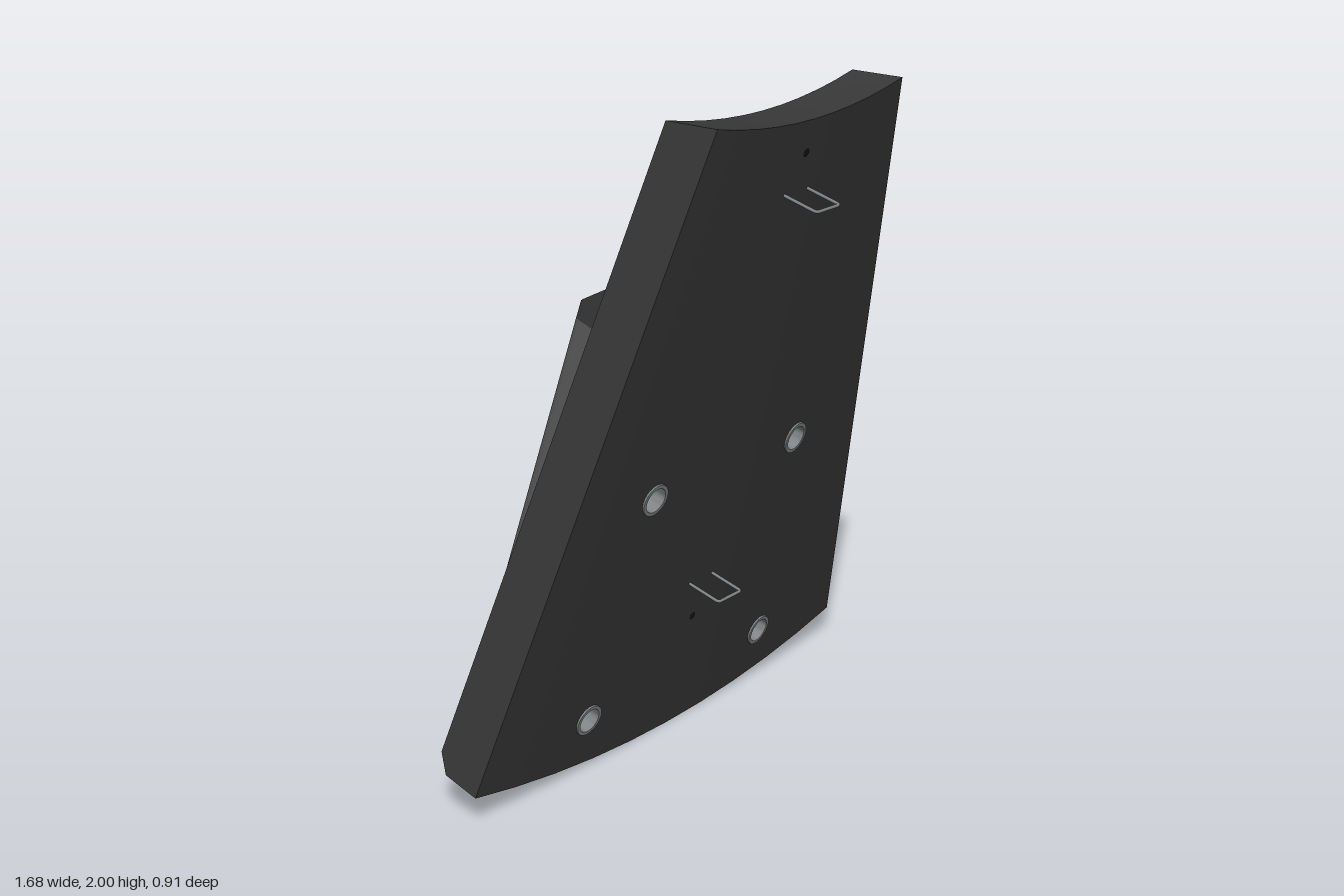
import * as THREE from 'three';
import { toCreasedNormals } from 'three/addons/utils/BufferGeometryUtils.js';

const mat = (name, color, side = THREE.FrontSide) =>
  Object.assign(new THREE.MeshStandardMaterial({ color, side }), { name });

const R = 3.885;                     // outer radius of the conical sector
const TILT = THREE.MathUtils.degToRad(15);
const COS = Math.cos(TILT), TAN = Math.tan(TILT);
const STEP = THREE.MathUtils.degToRad(2.5);
const T = 0.165;                     // plate thickness
const LEN = 2.024;                   // plate length along the slope
const RIB = 0.18;                    // rib height
const RIB_SLOT = 2.5;                // wedge index on which ribs and bolts lie
const BOLTS = [0.163, 0.903];

export function createModel() {
  const model = new THREE.Group();
  model.name = 'panel';
  const dark = mat('darkPanel', 0x383838);
  const grey = mat('greyCover', 0x585858);
  const metal = mat('metal', 0x808486, THREE.DoubleSide);
  const black = mat('blackHole', 0x151515);

  // Frame lying on the cone at an angle: y runs up the slope, z out of the front
  function frame(name, angle) {
    const pivot = new THREE.Group();
    pivot.name = name;
    pivot.position.y = R;
    pivot.rotation.z = angle;
    const tilted = new THREE.Group();
    tilted.name = name + 'Slope';
    tilted.position.set(0, -R, -0.12);
    tilted.rotation.x = TILT;
    pivot.add(tilted);
    model.add(pivot);
    return tilted;
  }
  function add(parent, name, geometry, material, x = 0, y = 0, z = 0) {
    const mesh = new THREE.Mesh(geometry, material);
    mesh.name = name;
    mesh.position.set(x, y, z);
    parent.add(mesh);
    return mesh;
  }
  const polygon = (pts, Kind = THREE.Shape) => new Kind(pts.map(([x, y]) => new THREE.Vector2(x, y)));

  // Extrude backwards from z0 to z1, then move each vertex by a rule
  function block(shape, z0, z1, steps, rule) {
    const geo = new THREE.ExtrudeGeometry(shape, { depth: z0 - z1, steps, bevelEnabled: false, curveSegments: 16 });
    geo.translate(0, 0, z1);
    const p = geo.attributes.position;
    const v = new THREE.Vector3();
    for (let i = 0; i < p.count; i++) {
      rule(v.fromBufferAttribute(p, i));
      p.setXYZ(i, v.x, v.y, v.z);
    }
    geo.computeVertexNormals();
    return geo;
  }

  // Plate: ten flat wedges around the cone, drilled where the bolts pass
  for (let i = -4.5; i <= 4.5; i++) {
    const half = y => (R - COS * y) * Math.tan(STEP / 2);
    const shape = polygon([[-half(0), 0], [half(0), 0], [half(LEN), LEN], [-half(LEN), LEN]]);
    if (Math.abs(i) === RIB_SLOT) {
      for (const y of BOLTS) shape.holes.push(new THREE.Path().absarc(0, y, 0.04, 0, Math.PI * 2, true));
    }
    const geo = block(shape, 0, -T, 4, v => {
      if (v.y > LEN - 0.01) v.y += v.z * TAN;               // level top edge
      else if (v.y < 0.01 && v.z < -T + 0.01) v.y = 0.054;  // rear bottom chamfer
    });
    add(frame('plateWedge', i * STEP), 'plate', geo, dark);
  }

  // Tapered rib section between heights d0 and d1 above the plate's back
  function ribPart(y0, y1, d0, d1, slope, slotted) {
    const w = 0.155, r = 0.03;
    const shape = polygon([[-w, y0], [w, y0], [w, y1], [-w, y1]]);
    if (slotted) {
      for (const y of BOLTS) {
        shape.holes.push(polygon([[-0.04, y - 0.045], [-0.025, y - 0.06], [0.025, y - 0.06], [0.04, y - 0.045],
          [0.04, y + 0.045], [0.025, y + 0.06], [-0.025, y + 0.06], [-0.04, y + 0.045]], THREE.Path));
      }
    }
    return block(shape, -T - d0, -T - d1, 18, v => {
      const d = -v.z - T;
      if (Math.abs(v.x) > 0.1) {
        const over = Math.max(0, d - (RIB - r));
        const round = r - Math.sqrt(Math.max(0, r * r - over * over));
        v.x = Math.sign(v.x) * (w - 0.1 * d - round);
      }
      if (v.y > y1 - 0.001) v.y -= slope * d;
    });
  }

  // Two ribs: the left one runs to the top edge, the right one stops short
  const ribs = [
    { name: 'leftRib', side: 1, top: 1.98, slope: 1.76, cap: 0.092 },
    { name: 'rightRib', side: -1, top: 1.535, slope: 0.9, cap: 0.035 },
  ];
  const coverTop = 1.331;
  for (const { name, side, top, slope, cap } of ribs) {
    const f = frame(name, side * RIB_SLOT * STEP);
    add(f, name + 'Base', ribPart(0, coverTop, 0, cap, 0, true), dark);
    add(f, name + 'Cover', ribPart(0, coverTop, cap, RIB, 0, true), grey);
    add(f, name + 'Top', ribPart(coverTop, top, 0, RIB, slope, false), dark);
    // Bolt sleeves with a raised front rim
    for (const y of BOLTS) {
      const profile = [[0.039, -0.16], [0.039, 0.006], [0.05, 0.006], [0.05, -0.004]];
      const geo = new THREE.LatheGeometry(profile.map(([a, b]) => new THREE.Vector2(a, b)), 24);
      geo.rotateX(Math.PI / 2);
      add(f, 'boltSleeve', toCreasedNormals(geo, 0.6), metal, 0, y, 0);
    }
  }

  const middle = frame('middleFittings', 0);

  // Lifting lugs standing off the back
  const lug = new THREE.Shape();
  lug.moveTo(-0.07, -0.02).lineTo(0.07, -0.02).lineTo(0.07, 0.1);
  lug.absarc(0, 0.1, 0.07, 0, Math.PI, false);
  lug.lineTo(-0.07, -0.02);
  lug.holes.push(new THREE.Path().absarc(0, 0.1, 0.036, 0, Math.PI * 2, true));
  const lugGeo = new THREE.ExtrudeGeometry(lug, { depth: 0.025, bevelEnabled: false, curveSegments: 20 });
  lugGeo.translate(0, 0, -0.0125).rotateX(-Math.PI / 2);
  for (const y of [0.52, 1.25]) add(middle, 'liftingLug', lugGeo, metal, 0, y, -T);

  // Wire handles on the front
  const V = (x, z) => new THREE.Vector3(x, 0, z);
  const wire = new THREE.CurvePath();
  wire.add(new THREE.LineCurve3(V(-0.053, -0.01), V(-0.053, 0.1)));
  wire.add(new THREE.QuadraticBezierCurve3(V(-0.053, 0.1), V(-0.053, 0.112), V(-0.041, 0.112)));
  wire.add(new THREE.LineCurve3(V(-0.041, 0.112), V(0.041, 0.112)));
  wire.add(new THREE.QuadraticBezierCurve3(V(0.041, 0.112), V(0.053, 0.112), V(0.053, 0.1)));
  wire.add(new THREE.LineCurve3(V(0.053, 0.1), V(0.053, -0.01)));
  const handleGeo = new THREE.TubeGeometry(wire, 80, 0.005, 8);
  for (const y of [0.535, 1.807]) add(middle, 'wireHandle', handleGeo, metal, 0, y, 0);

  // Small pin holes near the handles
  const pin = new THREE.CircleGeometry(0.013, 16);
  for (const y of [0.4, 1.925]) add(middle, 'pinHole', pin, black, 0, y, 0.002);

  return model;
}
